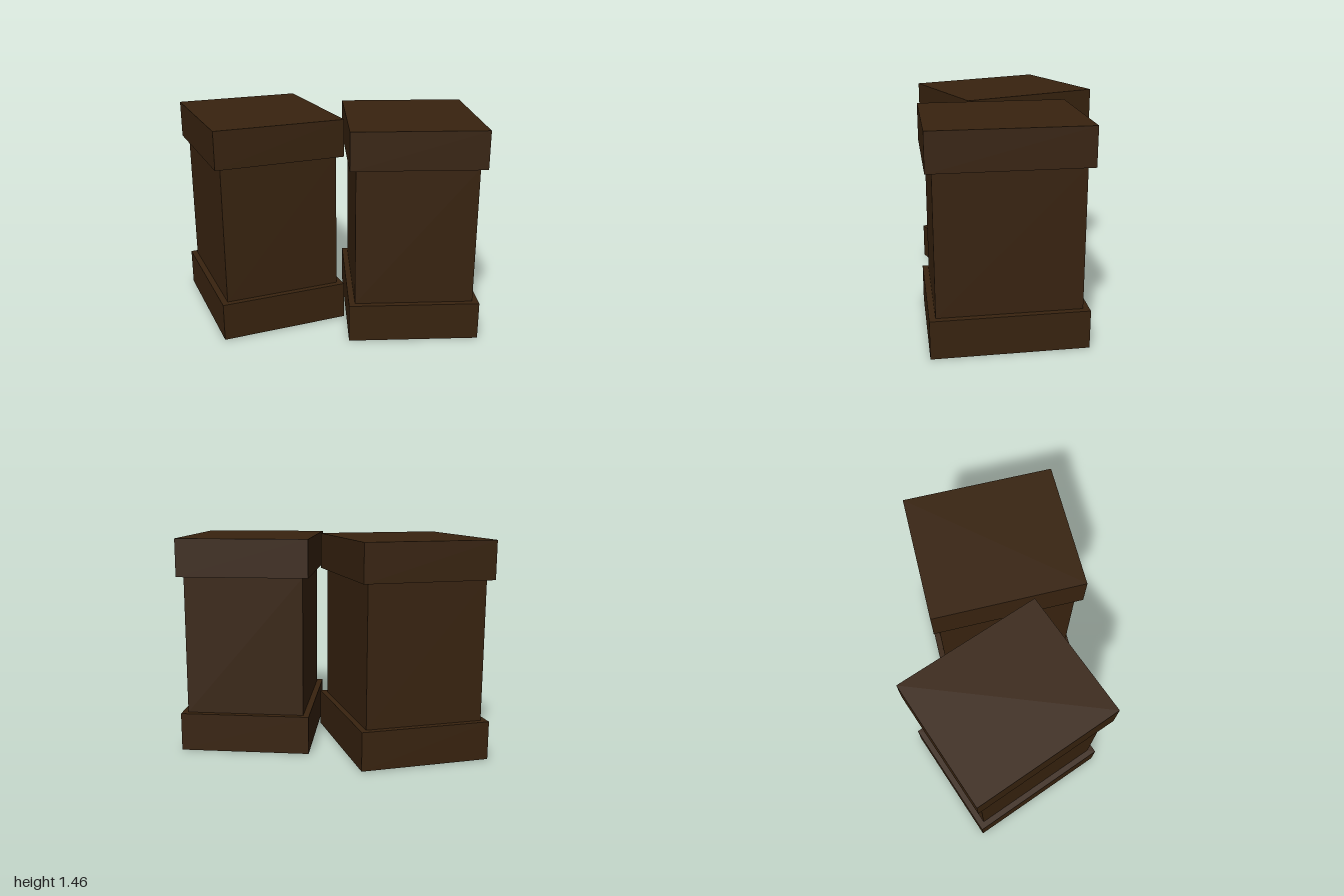
import * as THREE from 'three';

const WIDTH = 0.881, DEPTH = 1.021, HEIGHT = 1.454, INSET = 0.041;
const BASE_TOP = 0.26, LID_BOTTOM = 1.2;

export function createModel() {
  const wood = new THREE.MeshStandardMaterial({ color: 0x38230f });
  wood.name = 'darkWood';

  const slab = (name, w, d, y0, y1) => {
    const mesh = new THREE.Mesh(new THREE.BoxGeometry(w, y1 - y0, d), wood);
    mesh.name = name;
    mesh.position.y = (y0 + y1) / 2;
    return mesh;
  };

  // One crate: a slightly narrower body between a wide base and a wide lid
  const crate = (name, x, y, z, turn) => {
    const group = new THREE.Group();
    group.name = name;
    group.add(
      slab('base', WIDTH, DEPTH, 0, BASE_TOP),
      slab('body', WIDTH - 2 * INSET, DEPTH - 2 * INSET, BASE_TOP, LID_BOTTOM),
      slab('lid', WIDTH, DEPTH, LID_BOTTOM, HEIGHT),
    );
    group.position.set(x, y, z);
    group.rotation.y = turn;
    return group;
  };

  const model = new THREE.Group();
  model.name = 'cratePair';
  model.add(
    crate('rightCrate', -0.528, 0.003, -0.272, 0.063),
    crate('leftCrate', 0.429, 0, 0.189, -0.291),
  );
  return model;
}
